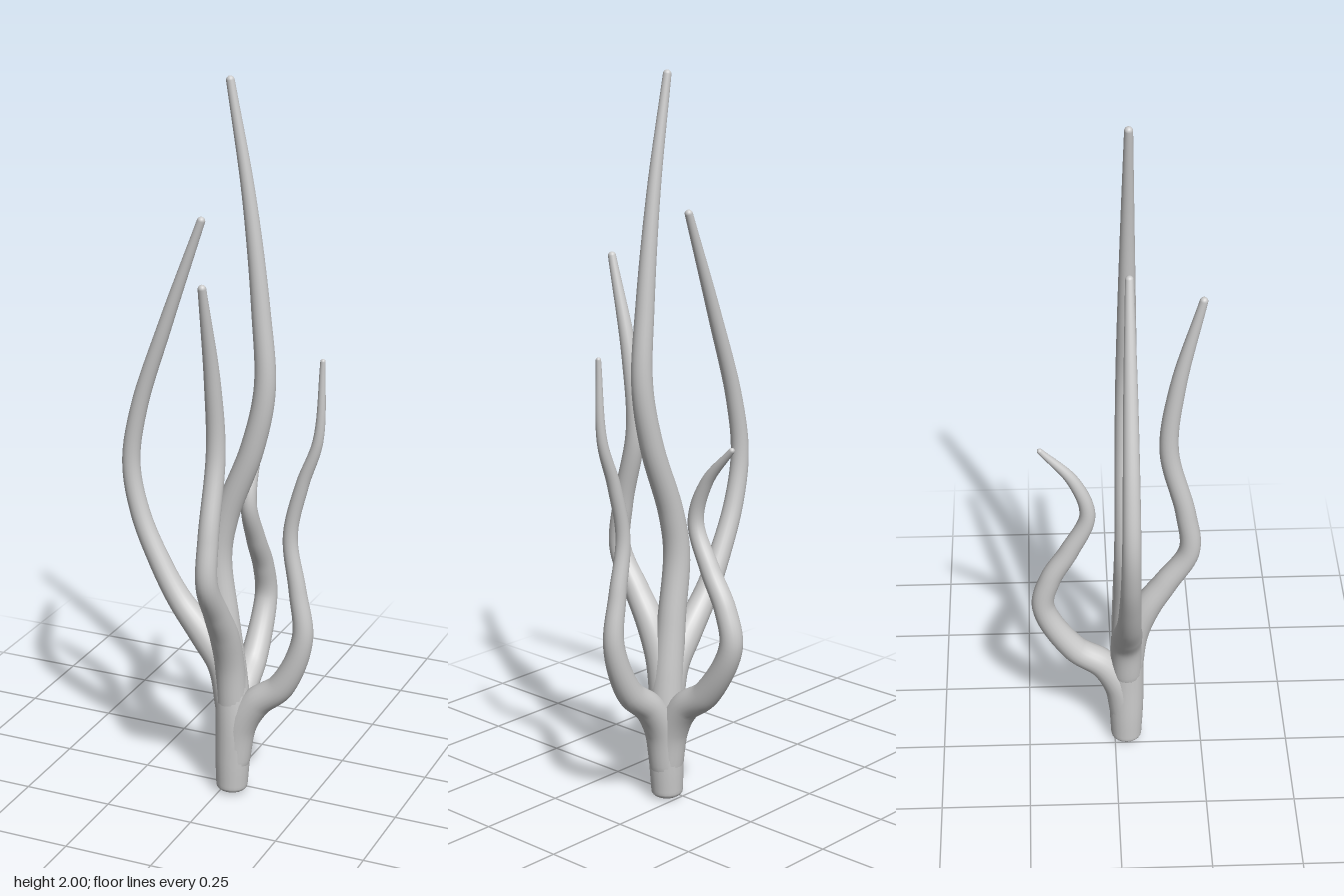
import * as THREE from 'three';

const SIDES = 20;
const CENTRE = { x: 0.03, z: 0.033 };

// Tapered limb bending in one vertical plane.
// Each point is [offset across the plane, height, radius].
function limbGeometry(points, startDepth) {
  const curve = new THREE.CatmullRomCurve3(points.map((p) => new THREE.Vector3(...p)));
  const rings = [];
  const steps = points.length * 9;
  const capSteps = 6;

  const addRing = (t, along, scale) => {
    const p = curve.getPoint(t);
    const d = curve.getTangent(t);
    const len = Math.hypot(d.x, d.y);
    const tx = d.x / len, ty = d.y / len;
    rings.push({ x: p.x + tx * along, y: p.y + ty * along, nx: ty, ny: -tx, r: Math.max(p.z * scale, 1e-4) });
  };

  // rounded start, body, rounded tip
  for (let k = capSteps; k > 0; k--) {
    const a = (k / capSteps) * Math.PI / 2;
    addRing(0, -startDepth * Math.sin(a), Math.cos(a));
  }
  for (let i = 0; i <= steps; i++) addRing(i / steps, 0, 1);
  const tipRadius = points[points.length - 1][2];
  for (let k = 1; k <= capSteps; k++) {
    const a = (k / capSteps) * Math.PI / 2;
    addRing(1, tipRadius * Math.sin(a), Math.cos(a));
  }

  const positions = [];
  const index = [];
  rings.forEach((ring, j) => {
    for (let i = 0; i < SIDES; i++) {
      const phi = (i / SIDES) * Math.PI * 2;
      const c = ring.r * Math.cos(phi);
      positions.push(ring.x + c * ring.nx, ring.y + c * ring.ny, ring.r * Math.sin(phi));
      if (j === rings.length - 1) continue;
      const n = (i + 1) % SIDES;
      const a = j * SIDES + i, b = j * SIDES + n;
      index.push(a, a + SIDES, b, b, a + SIDES, b + SIDES);
    }
  });

  const geometry = new THREE.BufferGeometry();
  geometry.setAttribute('position', new THREE.Float32BufferAttribute(positions, 3));
  geometry.setIndex(index);
  return geometry;
}

export function createModel() {
  const group = new THREE.Group();
  group.name = 'branchingCoral';
  const material = new THREE.MeshStandardMaterial({ color: 0xcccccc });

  const addLimb = (name, plane, points, startDepth = 0.02) => {
    const geometry = limbGeometry(points, startDepth);
    if (plane === 'z') {
      geometry.rotateY(-Math.PI / 2);
      geometry.translate(CENTRE.x, 0, 0);
    } else {
      geometry.translate(0, 0, CENTRE.z);
    }
    geometry.computeVertexNormals();
    const mesh = new THREE.Mesh(geometry, material);
    mesh.name = name;
    group.add(mesh);
  };

  // trunk continuing into the tallest stem
  addLimb('mainStem', 'x', [
    [0.028, 0.022, 0.044], [0.03, 0.1, 0.048], [0.033, 0.22, 0.05], [0.025, 0.36, 0.045],
    [0.008, 0.52, 0.039], [-0.012, 0.7, 0.037], [0.01, 0.82, 0.035], [0.085, 1.02, 0.032],
    [0.12, 1.19, 0.029], [0.108, 1.4, 0.025], [0.073, 1.7, 0.018], [0.022, 1.988, 0.011],
  ]);

  // side branches
  addLimb('rightBranch', 'x', [
    [0.025, 0.26, 0.044], [0.0, 0.38, 0.042], [-0.055, 0.462, 0.041], [-0.13, 0.555, 0.034],
    [-0.19, 0.66, 0.03], [-0.245, 0.79, 0.027], [-0.27, 0.93, 0.025], [-0.245, 1.09, 0.023],
    [-0.165, 1.33, 0.019], [-0.06, 1.62, 0.011],
  ]);
  addLimb('leftBranch', 'x', [
    [0.035, 0.1, 0.044], [0.053, 0.21, 0.046], [0.1, 0.285, 0.042], [0.175, 0.35, 0.037],
    [0.234, 0.5, 0.029], [0.218, 0.64, 0.024], [0.196, 0.79, 0.02], [0.228, 0.94, 0.018],
    [0.271, 1.07, 0.014], [0.281, 1.285, 0.007],
  ]);

  // front and back branches
  addLimb('frontBranch', 'z', [
    [0.035, 0.26, 0.044], [0.055, 0.4, 0.041], [0.09, 0.495, 0.04], [0.142, 0.58, 0.035],
    [0.205, 0.69, 0.03], [0.193, 0.82, 0.028], [0.145, 1.03, 0.026], [0.164, 1.23, 0.022],
    [0.227, 1.498, 0.011],
  ]);
  addLimb('backBranch', 'z', [
    [0.03, 0.1, 0.044], [0.012, 0.21, 0.046], [-0.035, 0.285, 0.042], [-0.115, 0.345, 0.038],
    [-0.201, 0.5, 0.032], [-0.18, 0.6, 0.03], [-0.125, 0.7, 0.027], [-0.075, 0.82, 0.022],
    [-0.112, 0.935, 0.017], [-0.2, 1.038, 0.008],
  ]);

  return group;
}
